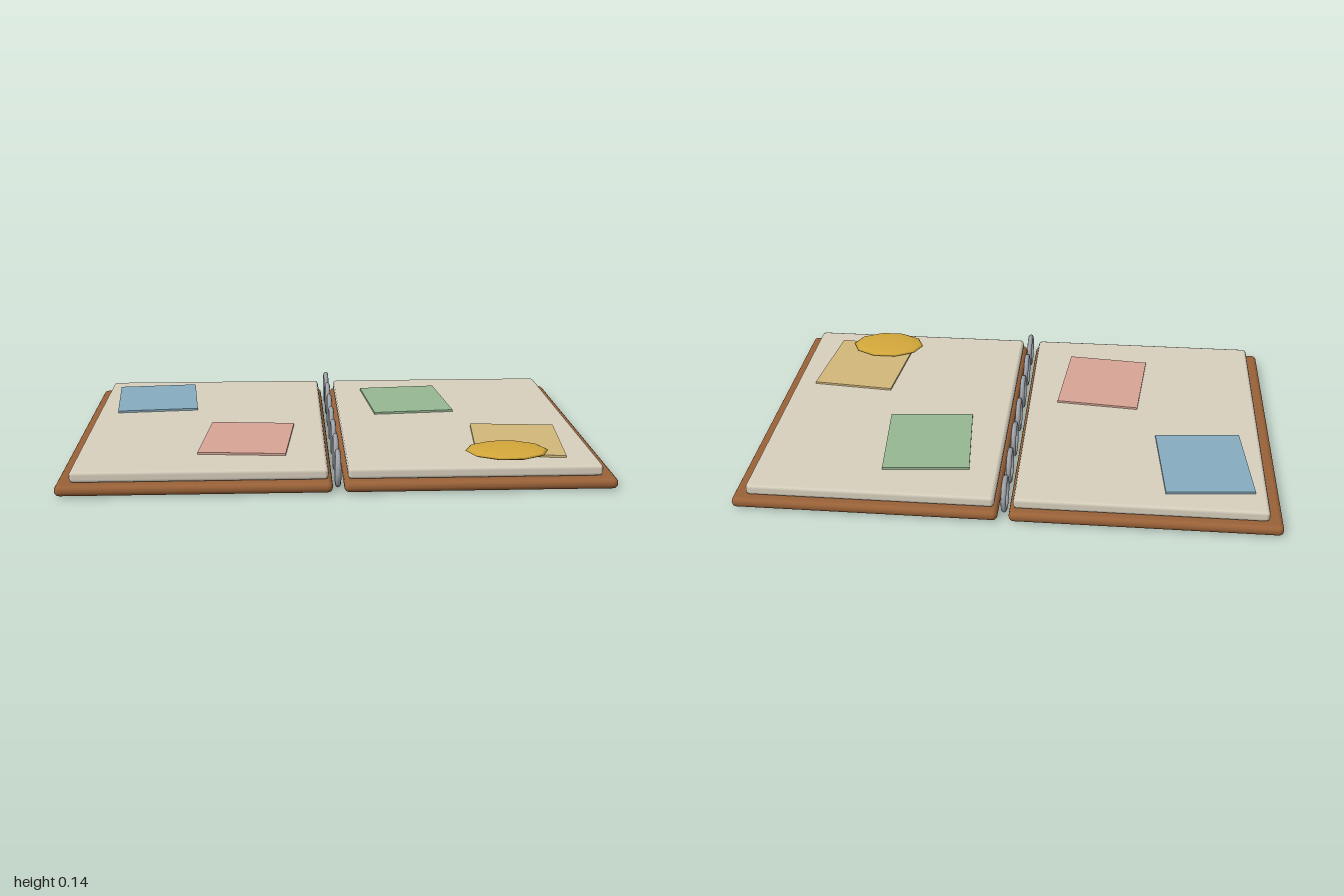
import * as THREE from 'three';
import { RoundedBoxGeometry } from 'three/addons/geometries/RoundedBoxGeometry.js';

const material = (name, color) => {
  const m = new THREE.MeshStandardMaterial({ color });
  m.name = name;
  return m;
};

export function createModel() {
  const group = new THREE.Group();
  group.name = 'openBinder';

  const leather = material('brown leather', 0x9a6238);
  const paper = material('cream paper', 0xd8d0be);
  const steel = material('ring steel', 0xa0a4aa);
  const gold = material('gold', 0xd4a83a);

  const add = (name, geometry, mat, x, y, z) => {
    const mesh = new THREE.Mesh(geometry, mat);
    mesh.name = name;
    mesh.position.set(x, y, z);
    group.add(mesh);
    return mesh;
  };

  // Two covers, each carrying a stack of pages
  const coverGeometry = new RoundedBoxGeometry(0.98, 0.04, 1.31, 2, 0.019);
  const pageGeometry = new RoundedBoxGeometry(0.916, 0.043, 1.25, 1, 0.014);
  for (const [side, s] of [['left', 1], ['right', -1]]) {
    add(side + 'Cover', coverGeometry, leather, s * 0.51, 0.025, 0);
    add(side + 'Pages', pageGeometry, paper, s * 0.492, 0.0665, 0);
  }

  // Binding rings standing along the spine
  const ringGeometry = new THREE.TorusGeometry(0.06, 0.01, 8, 14).rotateY(Math.PI / 2);
  for (let i = 0; i < 7; i++) {
    add('bindingRing', ringGeometry, steel, 0, 0.07, 0.563 - i * 0.1875);
  }

  // Tilted coloured cards lying on the pages
  const cardGeometry = new THREE.BoxGeometry(0.325, 0.009, 0.39);
  const cards = [
    ['blueCard', 0x86acbf, -0.725, -0.33, 0.09],
    ['pinkCard', 0xd8a596, -0.33, 0.26, -0.09],
    ['greenCard', 0x96b892, 0.325, -0.265, 0.09],
    ['yellowCard', 0xd2b87a, 0.69, 0.325, -0.09],
  ];
  for (const [name, color, x, z, turn] of cards) {
    add(name, cardGeometry, material(name + ' colour', color), x, 0.0915, z).rotation.y = turn;
  }

  // Flattened gold seal
  const seal = add('goldSeal', new THREE.SphereGeometry(1, 10, 8), gold, 0.623, 0.105, 0.49);
  seal.scale.set(0.153, 0.013, 0.113);

  return group;
}
